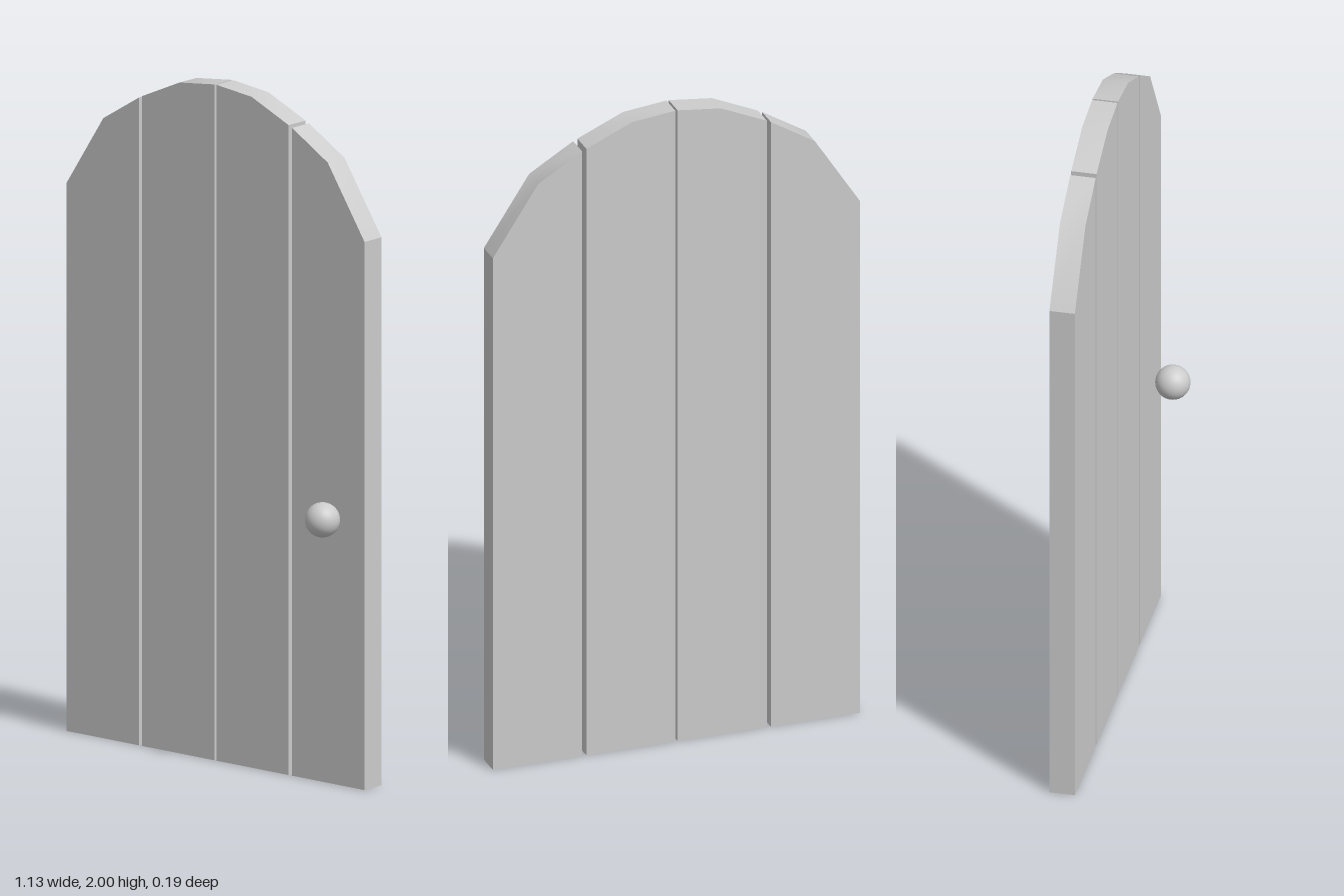
import * as THREE from 'three';
import { toCreasedNormals } from 'three/addons/utils/BufferGeometryUtils.js';

const BACK = -0.093, FRONT = -0.018;

// Each plank: name and its top edge from left to right as [x, y]
const PLANKS = [
  ['outerPlankRight', [[-0.565, 1.622], [-0.426, 1.835], [-0.291, 1.917]]],
  ['innerPlankRight', [[-0.279, 1.923], [-0.138, 1.985], [-0.005, 2]]],
  ['innerPlankLeft', [[0.002, 2], [0.135, 1.985], [0.275, 1.923]]],
  ['outerPlankLeft', [[0.288, 1.917], [0.423, 1.835], [0.562, 1.622]]],
];

// Vertical board standing on the ground, cut to the arch at its top
function plankGeometry(top) {
  const outline = [[top[0][0], 0], [top[2][0], 0], ...[...top].reverse()];
  const shape = new THREE.Shape(outline.map(([x, y]) => new THREE.Vector2(x, y)));
  const geometry = new THREE.ExtrudeGeometry(shape, { depth: FRONT - BACK, bevelEnabled: false });
  geometry.translate(0, 0, BACK);
  return toCreasedNormals(geometry, Math.PI / 6);
}

export function createModel() {
  const group = new THREE.Group();
  group.name = 'archedDoor';
  const material = new THREE.MeshStandardMaterial({ color: 0xcccccc });

  // Four planks separated by narrow gaps
  for (const [name, top] of PLANKS) {
    const plank = new THREE.Mesh(plankGeometry(top), material);
    plank.name = name;
    group.add(plank);
  }

  // Round knob just in front of the outer plank
  const knob = new THREE.Mesh(new THREE.SphereGeometry(0.051, 32, 20), material);
  knob.name = 'knob';
  knob.position.set(0.454, 0.794, 0.042);
  group.add(knob);

  return group;
}
